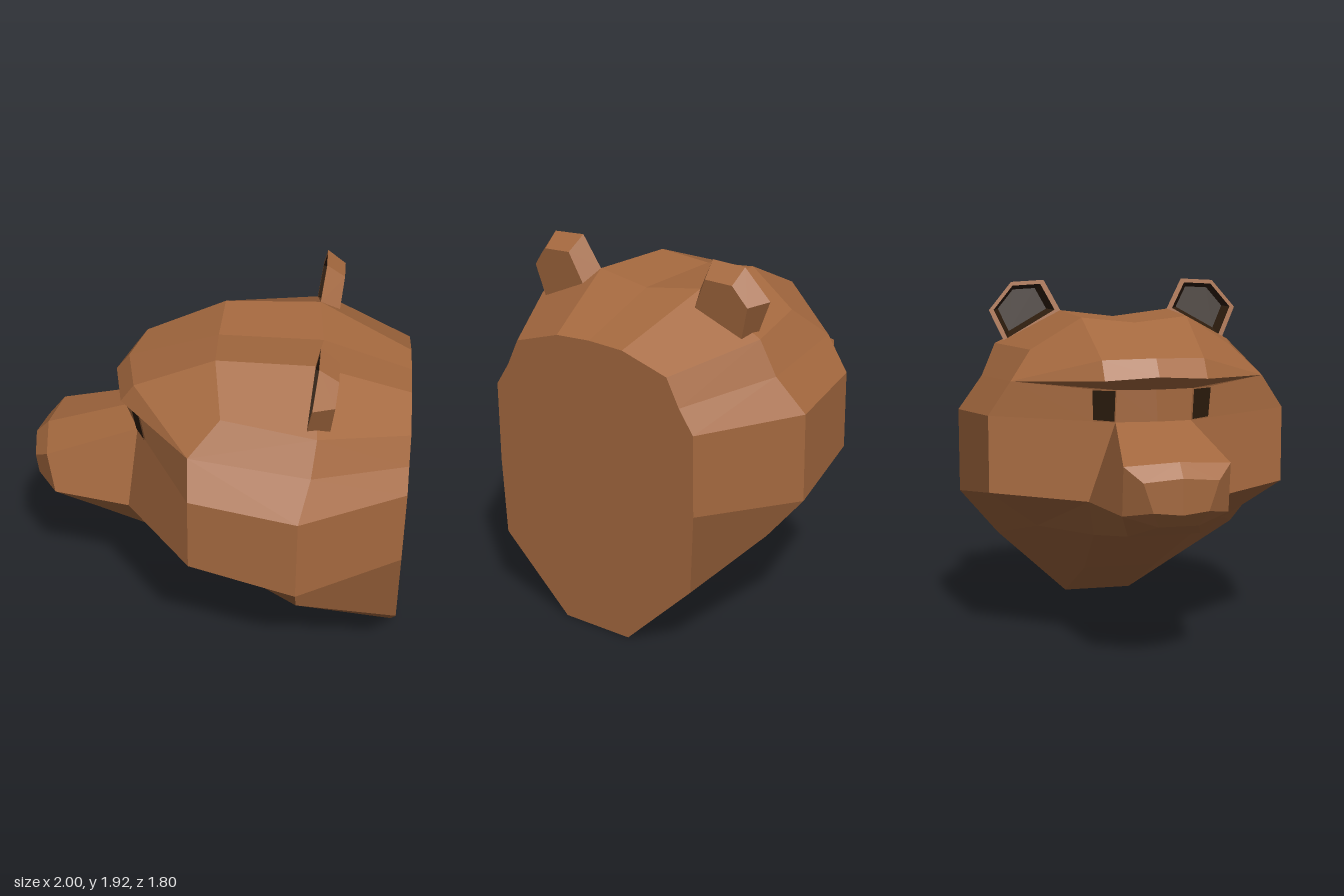
import * as THREE from 'three';

const fur = new THREE.MeshStandardMaterial({ color: 0xa5693f });
fur.name = 'brown fur';
const dark = new THREE.MeshStandardMaterial({ color: 0x2e1d0e });
dark.name = 'dark brown';

// Flat-faced mesh from polygons on the +z half, mirrored across z = 0.
// Each polygon has one normal, so slightly bent quads still read as one facet.
function mirroredMesh(name, material, polygons) {
  const positions = [], normals = [];
  for (const polygon of polygons) {
    const pts = polygon.map((p) => new THREE.Vector3(...p));
    const tris = [];
    const normal = new THREE.Vector3();
    for (let i = 1; i < pts.length - 1; i++) {
      const cross = pts[i].clone().sub(pts[0]).cross(pts[i + 1].clone().sub(pts[0]));
      if (cross.length() < 2e-6) continue;
      normal.add(cross);
      tris.push([pts[0], pts[i], pts[i + 1]]);
    }
    normal.normalize();
    for (const [a, b, c] of tris) {
      for (const p of [a, b, c]) {
        positions.push(p.x, p.y, p.z);
        normals.push(normal.x, normal.y, normal.z);
      }
      for (const p of [a, c, b]) {
        positions.push(p.x, p.y, -p.z);
        normals.push(normal.x, normal.y, -normal.z);
      }
    }
  }
  const g = new THREE.BufferGeometry();
  g.setAttribute('position', new THREE.Float32BufferAttribute(positions, 3));
  g.setAttribute('normal', new THREE.Float32BufferAttribute(normals, 3));
  const mesh = new THREE.Mesh(g, material);
  mesh.name = name;
  return mesh;
}

// Quads between two rows of points; closed joins the last column to the first.
function strip(a, b, closed = false) {
  const quads = [];
  const n = a.length;
  for (let i = 0; i < (closed ? n : n - 1); i++) {
    const j = (i + 1) % n;
    quads.push([a[i], a[j], b[j], b[i]]);
  }
  return quads;
}

const lerp = (a, b, t) => a.map((v, i) => v + (b[i] - v) * t);
const mid = ([x, y]) => [x, y, 0];

export function createModel() {
  const group = new THREE.Group();
  group.name = 'bearHead';

  // Muzzle corners
  const noseLow = [-0.97, 0.86, 0.14], noseHigh = [-0.97, 1.01, 0.19];
  const noseLowMid = [-1, 0.85, 0], noseHighMid = [-1, 1.03, 0];
  const muzzleLow = [-0.86, 0.83, 0.27], muzzleHigh = [-0.89, 1.08, 0.27];
  const muzzleTop = [-0.93, 1.1, 0], bridge = [-0.5, 1.24, 0];
  const baseLow = [-0.45, 0.83, 0.35], baseHigh = [-0.41, 1.23, 0.2];

  // Underside of chin and throat
  const chin = [-0.92, 0.78, 0.1], chinBack = [-0.64, 0.68, 0.19];
  const throat = [-0.24, 0.61, 0.28], neck = [0.36, 0.29, 0.21], neckBack = [1, 0, 0.2];

  // Cheeks, jaw and sides
  const jaw = [0.07, 0.61, 0.53], jawRear = [0.47, 0.5, 0.69], jawBack = [1, 0.38, 0.59];
  const cheekLow = [-0.08, 0.83, 0.81], sideLow = [0.47, 0.75, 0.9], backLow = [1, 0.79, 0.61];
  const cheekHigh = [-0.08, 1.24, 0.81], sideHigh = [0.47, 1.21, 0.9], backHigh = [1, 1.21, 0.61];

  // Eye sockets and brow
  const eyeCorner = lerp(baseHigh, cheekHigh, 0.17), eyeTop = [-0.38, 1.4, 0.31];
  const foreheadLow = [-0.44, 1.4, 0.2], foreheadMid = [-0.47, 1.4, 0];
  const lipMid = [-0.54, 1.47, 0], lip = [-0.48, 1.45, 0.27], browEnd = [-0.09, 1.42, 0.69];
  const browMid = [-0.47, 1.56, 0], brow = [-0.41, 1.55, 0.27];

  // Crown
  const topMid = [0, 1.71, 0], top = [0.01, 1.74, 0.29], topSide = [0.06, 1.57, 0.56];
  const rearMid = [0.54, 1.71, 0], rear = [0.51, 1.75, 0.31];
  const rearSide = [0.54, 1.57, 0.68], temple = [0.52, 1.39, 0.76];
  const backTemple = [1, 1.33, 0.53], backSide = [1, 1.47, 0.46];
  const backTop = [1, 1.55, 0.2], backMid = [1, 1.56, 0];

  // Muzzle with nose
  group.add(mirroredMesh('muzzle', fur, [
    [noseLowMid, noseLow, noseHigh, noseHighMid],
    ...strip([noseLowMid, mid(chin), mid(chinBack), mid(throat)], [noseLow, chin, chinBack, throat]),
    ...strip([noseLow, chin, chinBack, throat], [noseLow, muzzleLow, muzzleLow, baseLow]),
    ...strip([noseLow, muzzleLow, baseLow], [noseHigh, muzzleHigh, baseHigh]),
    [noseHigh, muzzleHigh, muzzleTop, noseHighMid],
    [muzzleHigh, baseHigh, bridge, muzzleTop],
  ]));

  // Jaw, cheeks and neck
  group.add(mirroredMesh('jawAndCheeks', fur, [
    ...strip([throat, neck, neckBack].map(mid), [throat, neck, neckBack]),
    [throat, jaw, baseLow],
    [throat, neck, jawRear, jaw],
    [jawRear, neck, neckBack, jawBack],
    [baseLow, jaw, cheekLow],
    [jaw, jawRear, sideLow, cheekLow],
    [sideLow, jawRear, jawBack, backLow],
    ...strip([baseLow, cheekLow, sideLow, backLow], [baseHigh, cheekHigh, sideHigh, backHigh]),
    [browEnd, cheekHigh, sideHigh, temple],
    [temple, sideHigh, backHigh, backTemple],
  ]));

  // Forehead, brow and crown
  group.add(mirroredMesh('browAndCrown', fur, [
    [bridge, baseHigh, foreheadLow, foreheadMid],
    [baseHigh, eyeCorner, eyeTop, foreheadLow],
    [eyeCorner, cheekHigh, browEnd, eyeTop],
    [foreheadMid, foreheadLow, lip, lipMid],
    [foreheadLow, eyeTop, browEnd, lip],
    [lipMid, lip, brow, browMid],
    [lip, browEnd, brow],
    [brow, browEnd, topSide, top],
    [browMid, brow, top, topMid],
    [topMid, top, rear, rearMid],
    [top, topSide, rearSide, rear],
    [browEnd, temple, rearSide, topSide],
    [rearSide, temple, backTemple, backSide],
    [rear, rearSide, backSide, backTop],
    [rearMid, rear, backTop, backMid],
  ]));

  // Flat back plate
  group.add(mirroredMesh('backPlate', fur, [
    [backMid, backTop, backSide, backTemple, backHigh, backLow, jawBack, neckBack, mid(neckBack)],
  ]));

  // Eyes, thin plates just in front of the sockets
  const onSocket = (u, v) => {
    const p = lerp(lerp(baseHigh, eyeCorner, u), lerp(foreheadLow, eyeTop, u), v);
    return [p[0] - 0.006, p[1], p[2] + 0.004];
  };
  group.add(mirroredMesh('eyes', dark, [
    [onSocket(0.03, 0.03), onSocket(1, 0.05), onSocket(1, 0.97), onSocket(0.03, 0.97)],
  ]));

  // Ears: tilted five-sided cups with a dark hollow, rooted along the crown's slope
  const frontX = (y) => 0.485 + (y - 1.57) * 0.14;
  const rim = [[1.75, 0.31], [1.92, 0.4], [1.91, 0.585], [1.755, 0.715], [1.57, 0.63]]
    .map(([y, z]) => [frontX(y), y, z]);
  const rearRim = [[1.68, 0.345], [1.845, 0.42], [1.84, 0.575], [1.74, 0.655], [1.57, 0.61]]
    .map(([y, z]) => [0.6 + (y - 1.57) * 0.11, y, z]);
  const centre = [frontX(1.77), 1.77, 0.53];
  const inner = rim.map((p) => lerp(p, centre, 0.15));
  const floor = rim.map((p) => lerp(p, centre, 0.32)).map(([x, y, z]) => [x + 0.06, y, z]);
  group.add(mirroredMesh('ears', fur, [
    ...strip(rim, rearRim, true),
    ...strip(inner, rim, true),
    rearRim,
  ]));
  group.add(mirroredMesh('earHollows', dark, [
    ...strip(floor, inner, true),
    [...floor].reverse(),
  ]));

  return group;
}
